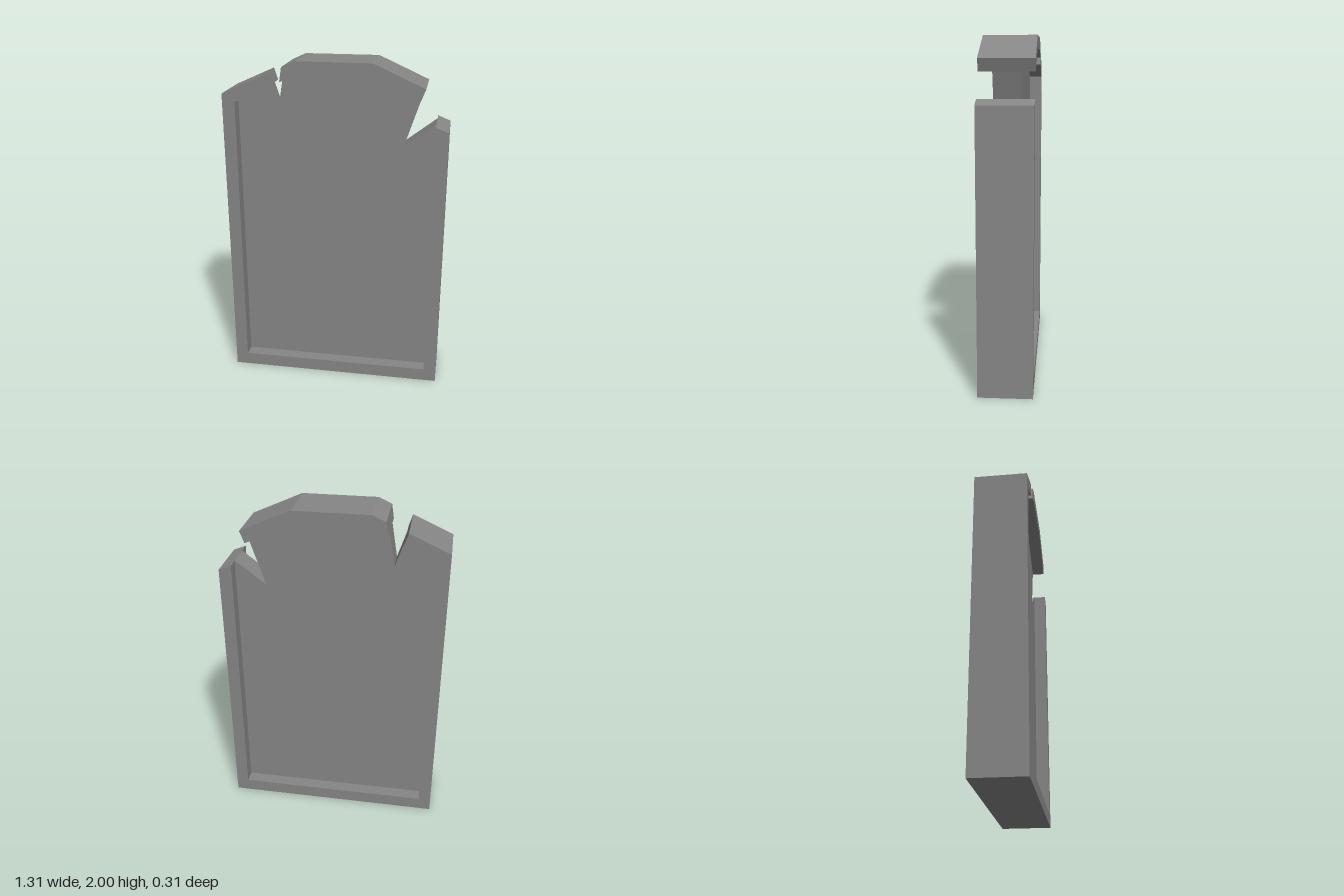
import * as THREE from 'three';

const material = new THREE.MeshStandardMaterial({ color: 0x868686, flatShading: true });

// Flat outline extruded evenly to both sides of z = 0
function slab(name, points, halfDepth) {
  const shape = new THREE.Shape(points.map(([x, y]) => new THREE.Vector2(x, y)));
  const geometry = new THREE.ExtrudeGeometry(shape, { depth: halfDepth * 2, bevelEnabled: false });
  geometry.translate(0, 0, -halfDepth);
  const mesh = new THREE.Mesh(geometry, material);
  mesh.name = name;
  return mesh;
}

export function createModel() {
  const group = new THREE.Group();
  group.name = 'brokenGravestone';
  const rimDepth = 0.156, panelDepth = 0.078;

  // Recessed slab, notched by the two cracks
  group.add(slab('panel', [
    [-0.58, 0.078], [0.58, 0.078], [0.58, 1.655], [0.398, 1.515], [0.49, 1.797],
    [0.205, 1.925], [-0.205, 1.925], [-0.311, 1.88], [-0.345, 1.68],
    [-0.397, 1.837], [-0.58, 1.757],
  ], panelDepth));

  // Raised border: left shoulder, sides and base
  group.add(slab('sideRim', [
    [-0.42, 1.91], [-0.655, 1.805], [-0.655, 0], [0.655, 0], [0.655, 1.625],
    [0.58, 1.655], [0.58, 0.078], [-0.58, 0.078], [-0.58, 1.757], [-0.397, 1.837],
  ], rimDepth));

  // Raised border: arch between the cracks
  group.add(slab('topRim', [
    [-0.298, 1.965], [-0.311, 1.88], [-0.205, 1.925], [0.205, 1.925],
    [0.49, 1.797], [0.517, 1.867], [0.22, 2], [-0.22, 2],
  ], rimDepth));

  return group;
}
